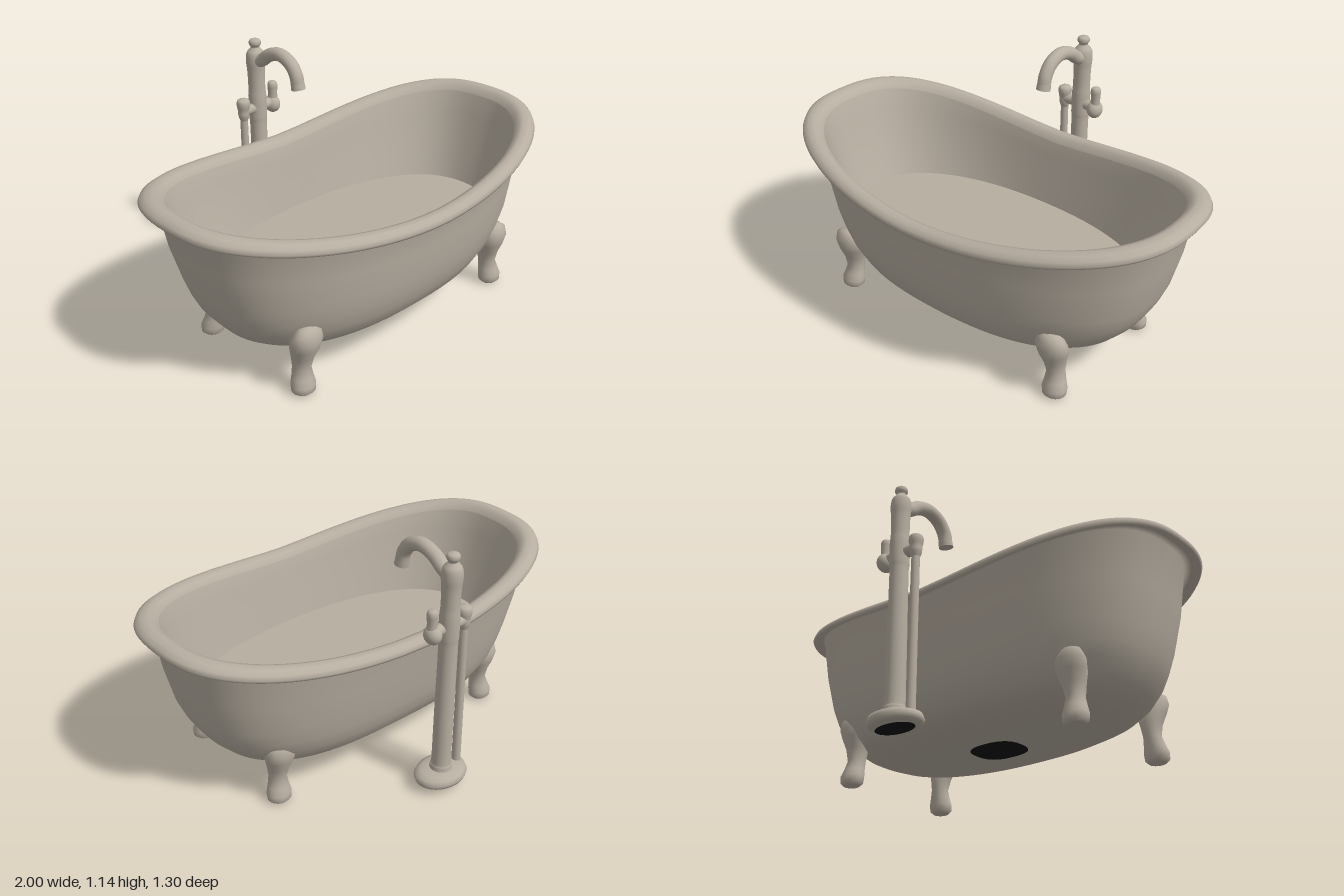
import * as THREE from 'three';

const enamel = new THREE.MeshStandardMaterial({ color: 0xb7aea1 });
enamel.name = 'warm grey enamel';
const black = new THREE.MeshStandardMaterial({ color: 0x111111 });
black.name = 'black underside';

// Skin through closed oval rings: [halfX, halfZ, y, rimLift, centreX, centreZ, backPower]
// rimLift raises the ring towards its two x ends, following the curved rim.
// The front and back halves may have different squareness (2 is an ellipse).
function loft(rings, front = 2, back = front, segments = 96) {
  const pos = [], index = [];
  const bend = (v, power) => Math.sign(v) * Math.pow(Math.abs(v), 2 / power);
  for (const [rx, rz, y, lift = 0, cx = 0, cz = 0, ringBack = back] of rings) {
    for (let j = 0; j < segments; j++) {
      const t = (j / segments) * Math.PI * 2;
      const power = Math.sin(t) < 0 ? ringBack : front;
      const u = bend(Math.cos(t), power), v = bend(Math.sin(t), power);
      const rise = Math.pow(Math.abs(u), 1.65) * (1.25 - 0.25 * Math.abs(u));
      pos.push(cx + rx * u, y + 0.118 * lift * rise, cz + rz * v);
    }
  }
  for (let i = 0; i < rings.length - 1; i++) {
    for (let j = 0; j < segments; j++) {
      const k = (j + 1) % segments;
      const a = i * segments + j, b = i * segments + k;
      const c = a + segments, d = b + segments;
      index.push(a, c, b, b, c, d);
    }
  }
  const g = new THREE.BufferGeometry();
  g.setAttribute('position', new THREE.Float32BufferAttribute(pos, 3));
  g.setIndex(index);
  g.computeVertexNormals();
  return g;
}

function add(parent, name, geometry, x = 0, y = 0, z = 0, material = enamel) {
  const mesh = new THREE.Mesh(geometry, material);
  mesh.name = name;
  mesh.position.set(x, y, z);
  parent.add(mesh);
  return mesh;
}

const lathe = (points, segments = 32) =>
  new THREE.LatheGeometry(
    new THREE.SplineCurve(points.map(p => new THREE.Vector2(...p))).getPoints(points.length * 4)
      .map(p => p.set(Math.max(p.x, 0), p.y)), segments);

function createTub() {
  const tub = new THREE.Group();
  tub.name = 'tub';
  tub.position.z = 0.098;

  // Outer wall and rolled rim
  add(tub, 'tubShell', loft([
    [0, 0, 0.108], [0.25, 0.14, 0.109], [0.48, 0.235, 0.118], [0.6, 0.305, 0.135],
    [0.68, 0.36, 0.165], [0.735, 0.4, 0.205], [0.79, 0.432, 0.27, 0, 0.005],
    [0.824, 0.45, 0.335, 0, 0.008], [0.853, 0.465, 0.41, 0, 0.01],
    [0.897, 0.483, 0.53, 0.4, 0.007, -0.005], [0.93, 0.498, 0.665, 1, 0.004, -0.01],
    [0.953, 0.515, 0.672, 1], [0.975, 0.532, 0.656, 1], [0.992, 0.544, 0.655, 1],
    [1.0, 0.549, 0.668, 1], [0.992, 0.543, 0.685, 1], [0.97, 0.525, 0.699, 1],
    [0.94, 0.5, 0.702, 1], [0.915, 0.477, 0.692, 1], [0.897, 0.462, 0.665, 1],
  ], 2.3, 2.75));

  // Basin wall and flat floor, rounder towards the bottom
  add(tub, 'innerWall', loft([
    [0.915, 0.477, 0.692, 1], [0.897, 0.462, 0.665, 1], [0.87, 0.45, 0.6, 0.7, 0, 0, 2.65],
    [0.82, 0.425, 0.48, 0.3, 0, 0, 2.45], [0.765, 0.4, 0.36, 0, 0.005, 0, 2.2],
  ], 2.3, 2.75));
  add(tub, 'tubFloor', loft([[0.77, 0.402, 0.364, 0, 0.005], [0, 0, 0.364]], 2.3, 2.2));
  add(tub, 'undersidePatch', loft([[0, 0, 0.104], [0.125, 0.105, 0.104]], 2.6, 2.6, 32),
    -0.01, 0, -0.01, black);

  // Four ball feet with narrow ankles and swelling knees
  const profile = [
    [0, 0, 0.0, 0.612, 0.3], [0.038, 0.034, 0.0, 0.612, 0.3], [0.054, 0.048, 0.014, 0.612, 0.3],
    [0.056, 0.05, 0.042, 0.612, 0.298], [0.047, 0.045, 0.075, 0.609, 0.291],
    [0.038, 0.042, 0.115, 0.605, 0.283], [0.047, 0.052, 0.17, 0.602, 0.286],
    [0.066, 0.061, 0.22, 0.6, 0.298], [0.075, 0.056, 0.262, 0.6, 0.312],
    [0.064, 0.042, 0.3, 0.6, 0.318], [0.038, 0.026, 0.32, 0.6, 0.317], [0, 0, 0.327, 0.6, 0.315],
  ];
  for (const sx of [-1, 1]) for (const sz of [-1, 1]) {
    const rings = profile.map(([rx, rz, y, x, z]) => [rx, rz, y, 0, sx * x, sz * z]);
    add(tub, (sz > 0 ? 'front' : 'back') + (sx > 0 ? 'Left' : 'Right') + 'Foot',
      loft(rings, 2, 2, 24), 0.004, 0, 0.01);
  }
  return tub;
}

function createFaucet() {
  const faucet = new THREE.Group();
  faucet.name = 'standingFaucet';
  faucet.position.z = -0.555;

  // Oval floor plate
  add(faucet, 'basePlate', loft([
    [0, 0, 0.03], [0.105, 0.083, 0.03], [0.122, 0.097, 0.038], [0.128, 0.102, 0.055],
    [0.12, 0.095, 0.074], [0.095, 0.075, 0.084], [0.05, 0.05, 0.09], [0, 0, 0.09],
  ], 2, 2, 40), 0, 0, 0.006);
  add(faucet, 'basePatch', loft([[0, 0, 0.026], [0.096, 0.058, 0.026]], 2, 2, 24), 0, 0, 0.006, black);

  // Upright column with finial, leaning back very slightly
  const column = add(faucet, 'column', lathe([
    [0.052, 0.08], [0.048, 0.11], [0.043, 0.14], [0.042, 0.4], [0.04, 0.7], [0.043, 0.76],
    [0.043, 0.85], [0.04, 0.9], [0.041, 0.98], [0.045, 1.03], [0.041, 1.07], [0.027, 1.09],
    [0.02, 1.1], [0.028, 1.115], [0.024, 1.133], [0, 1.141],
  ]), 0.002, 0, 0.004);
  column.rotation.x = -0.011;

  // Gooseneck spout
  const path = new THREE.CatmullRomCurve3([
    [1.03, 0], [1.05, 0.045], [1.085, 0.095], [1.104, 0.165], [1.083, 0.232],
    [1.035, 0.272], [0.978, 0.285],
  ].map(([y, z]) => new THREE.Vector3(0.002, y, z)));
  add(faucet, 'spout', new THREE.TubeGeometry(path, 48, 0.031, 20));
  const tip = add(faucet, 'spoutTip', new THREE.CylinderGeometry(0.031, 0.033, 0.03, 20), 0.002, 0.986, 0.284);
  tip.rotation.x = -0.2;

  // Cross bar, lever valve and supply pipe
  const bar = add(faucet, 'crossBar', new THREE.CylinderGeometry(0.025, 0.025, 0.17, 20), 0.005, 0.805, 0);
  bar.rotation.z = Math.PI / 2;
  const knob = add(faucet, 'valveKnob', new THREE.SphereGeometry(0.042, 24, 16), 0.088, 0.795, 0);
  knob.scale.x = 0.85;
  add(faucet, 'valveLever', lathe([
    [0.024, 0.8], [0.022, 0.84], [0.023, 0.87], [0.024, 0.89], [0.018, 0.906], [0, 0.911],
  ], 20), 0.091, 0, 0.002);
  add(faucet, 'supplyElbow', lathe([
    [0.018, 0.76], [0.026, 0.785], [0.027, 0.81], [0.032, 0.84], [0.026, 0.862], [0, 0.87],
  ], 20), -0.088, 0, 0);
  add(faucet, 'supplyPipe', new THREE.CylinderGeometry(0.018, 0.02, 0.72, 16), -0.088, 0.42, 0);
  return faucet;
}

export function createModel() {
  const model = new THREE.Group();
  model.name = 'freestandingBathtub';
  model.add(createTub(), createFaucet());
  return model;
}
